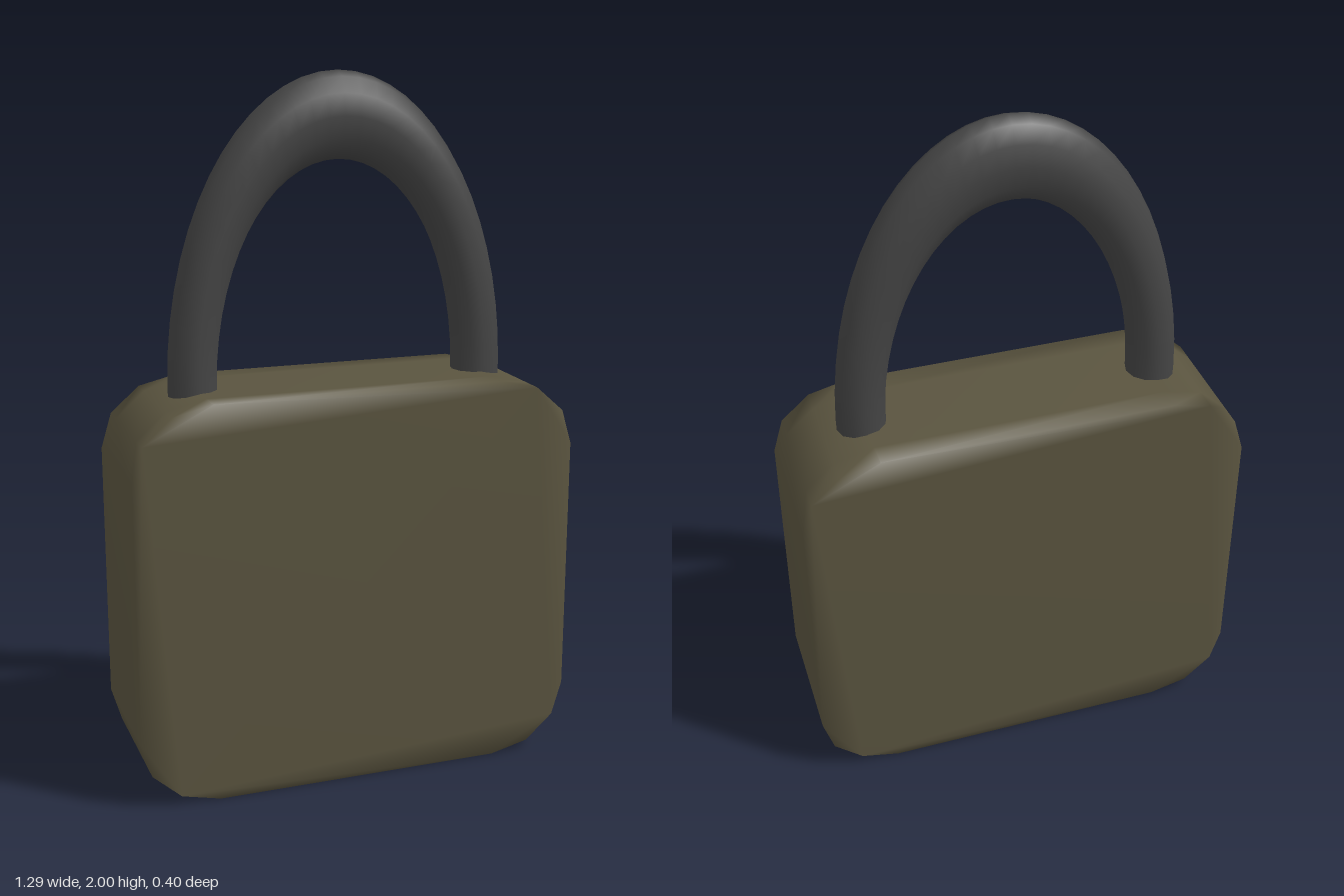
import * as THREE from 'three';
import { mergeGeometries, mergeVertices } from 'three/addons/utils/BufferGeometryUtils.js';

// Walls joining copies of a counter-clockwise outline at successive z values (front to back)
function loft(points, depths, skip = () => false) {
  const position = [], index = [], n = points.length;
  for (const z of depths) for (const p of points) position.push(p.x, p.y, z);
  for (let k = 0; k < depths.length - 1; k++) {
    for (let i = 0; i < n; i++) {
      if (skip(k, i)) continue;
      const a = k * n + i, b = k * n + (i + 1) % n;
      index.push(a, a + n, b, b, a + n, b + n);
    }
  }
  const g = new THREE.BufferGeometry();
  g.setAttribute('position', new THREE.Float32BufferAttribute(position, 3));
  g.setIndex(index);
  return g;
}

// Weld the pieces into one smoothly shaded surface
function weld(parts) {
  for (const g of parts) {
    g.deleteAttribute('uv');
    g.deleteAttribute('normal');
  }
  const g = mergeVertices(mergeGeometries(parts), 1e-4);
  g.computeVertexNormals();
  return g;
}

// Rectangle with three-sided elliptical corners, ending with the bottom edge
function bodyOutline() {
  const points = [];
  const corners = [[0.42, 0.2], [0.42, 0.945], [-0.42, 0.945], [-0.42, 0.2]];
  corners.forEach(([x, y], c) => {
    for (let i = 0; i <= 3; i++) {
      const a = (c - 1 + i / 3) * Math.PI / 2;
      points.push(new THREE.Vector2(x + 0.225 * Math.cos(a), y + 0.2 * Math.sin(a)));
    }
  });
  return points;
}

// Round hole crossed by a narrow slot
function keyholeOutline() {
  const r = 0.08, half = 0.045, end = 0.14, points = [];
  const start = Math.asin(half / r);
  for (const s of [1, -1]) {
    for (let i = 0; i <= 6; i++) {
      const a = start + (Math.PI - 2 * start) * i / 6;
      points.push(new THREE.Vector2(s * r * Math.cos(a), s * r * Math.sin(a)));
    }
    points.push(new THREE.Vector2(-s * end, s * half), new THREE.Vector2(-s * end, -s * half));
  }
  return points;
}

export function createModel() {
  const model = new THREE.Group();
  const add = (name, geometry, material) => {
    const mesh = new THREE.Mesh(geometry, material);
    mesh.name = name;
    model.add(mesh);
    return mesh;
  };
  const brass = new THREE.MeshStandardMaterial({ color: 0x5a543f });
  const brassInside = new THREE.MeshStandardMaterial({ color: 0x5a543f, side: THREE.DoubleSide });
  const steel = new THREE.MeshStandardMaterial({ color: 0x444444 });

  // Body: side walls, two flat faces and an underside pierced by the keyhole
  const outline = bodyOutline(), hole = keyholeOutline();
  const depth = 0.2, inner = 0.13;
  const walls = loft(outline, [depth, inner, -inner, -depth],
    (k, i) => k === 1 && i === outline.length - 1);
  const front = new THREE.ShapeGeometry(new THREE.Shape(outline)).translate(0, 0, depth);
  const back = new THREE.ShapeGeometry(new THREE.Shape(outline))
    .rotateY(Math.PI).translate(0, 0, -depth);
  const panel = new THREE.Shape([[-0.42, -inner], [0.42, -inner], [0.42, inner], [-0.42, inner]]
    .map(([x, y]) => new THREE.Vector2(x, y)));
  panel.holes.push(new THREE.Path(hole));
  const underside = new THREE.ShapeGeometry(panel).rotateX(Math.PI / 2);
  add('body', weld([walls, front, back, underside]), brass);

  // Keyhole recess in the underside
  const recess = loft(hole, [0, -0.1]).rotateX(Math.PI / 2);
  recess.computeVertexNormals();
  add('keyholeWall', recess, brassInside);
  add('keyholeFloor', new THREE.ShapeGeometry(new THREE.Shape(hole))
    .rotateX(Math.PI / 2).translate(0, 0.1, 0), brassInside);

  // Shackle: stretched half ring whose ends sink into the body
  const dip = 0.09;
  const ring = new THREE.TorusGeometry(0.425, 0.07, 12, 32, Math.PI + 2 * dip)
    .rotateZ(-dip).scale(1, 1.71, 1).translate(0, 1.1535, 0);
  add('shackle', ring, steel);

  return model;
}
